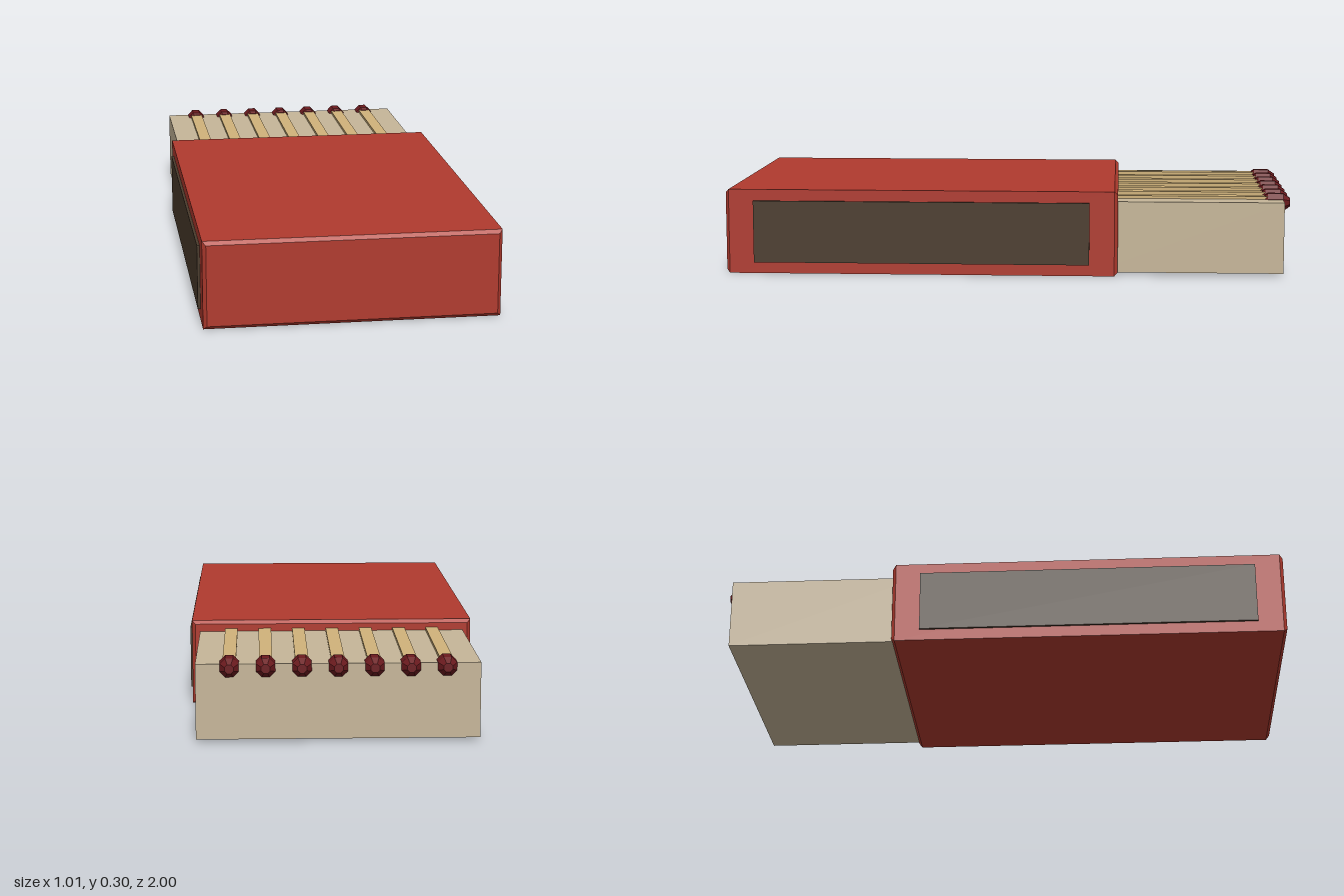
import * as THREE from 'three';

const mat = (name, color) => {
  const m = new THREE.MeshStandardMaterial({ color });
  m.name = name;
  m.flatShading = true;
  return m;
};

export function createModel() {
  const red = mat('sleeve red', 0xb03a2e);
  const card = mat('card beige', 0xc6b699);
  const wood = mat('match wood', 0xd0b27a);
  const tip = mat('match head red', 0x6b1a1e);
  const dark = mat('striker brown', 0x4a3b2c);

  const model = new THREE.Group();
  model.name = 'matchbox';

  const add = (name, geometry, material, x, y, z, parent = model) => {
    const mesh = new THREE.Mesh(geometry, material);
    mesh.name = name;
    mesh.position.set(x, y, z);
    parent.add(mesh);
    return mesh;
  };

  // Sleeve: block with small chamfers on every edge
  const W = 0.497, H = 0.3, back = -0.39, front = 1, b = 0.012;
  const w = W - b, y0 = b, y1 = H - b;
  const outline = new THREE.Shape([
    new THREE.Vector2(-w, y0), new THREE.Vector2(w, y0),
    new THREE.Vector2(w, y1), new THREE.Vector2(-w, y1),
  ]);
  const sleeve = new THREE.ExtrudeGeometry(outline, {
    depth: front - back - 2 * b, bevelEnabled: true,
    bevelThickness: b, bevelSize: b, bevelSegments: 1,
  });
  add('sleeve', sleeve, red, 0, 0, back + b);

  // Striking strips on both long sides
  for (const side of [-1, 1]) {
    add(side > 0 ? 'leftStriker' : 'rightStriker',
      new THREE.BoxGeometry(0.0095, 0.22, 1.19), dark, side * (W + 0.0045), 0.15, 0.305);
  }

  // Tray pulled out of the back
  add('tray', new THREE.BoxGeometry(0.936, 0.252, 0.673), card, 0, 0.136, -0.6365);

  // Matches: square sticks half sunk in the tray, with faceted heads
  const stick = new THREE.BoxGeometry(0.044, 0.044, 0.62);
  const profile = [[0, -0.045], [0.026, -0.045], [0.034, -0.034], [0.034, 0.02], [0.016, 0.045], [0, 0.045]]
    .map(([r, h]) => new THREE.Vector2(r, h));
  const head = new THREE.LatheGeometry(profile, 8);
  head.rotateY(Math.PI / 8);
  head.rotateX(-Math.PI / 2);
  for (let i = -3; i <= 3; i++) {
    const match = new THREE.Group();
    match.name = 'match';
    match.position.set(i * 0.119, 0.25, 0);
    add('stick', stick, wood, 0, 0, -0.65, match);
    add('matchHead', head, tip, 0, 0, -0.955, match);
    model.add(match);
  }
  return model;
}
